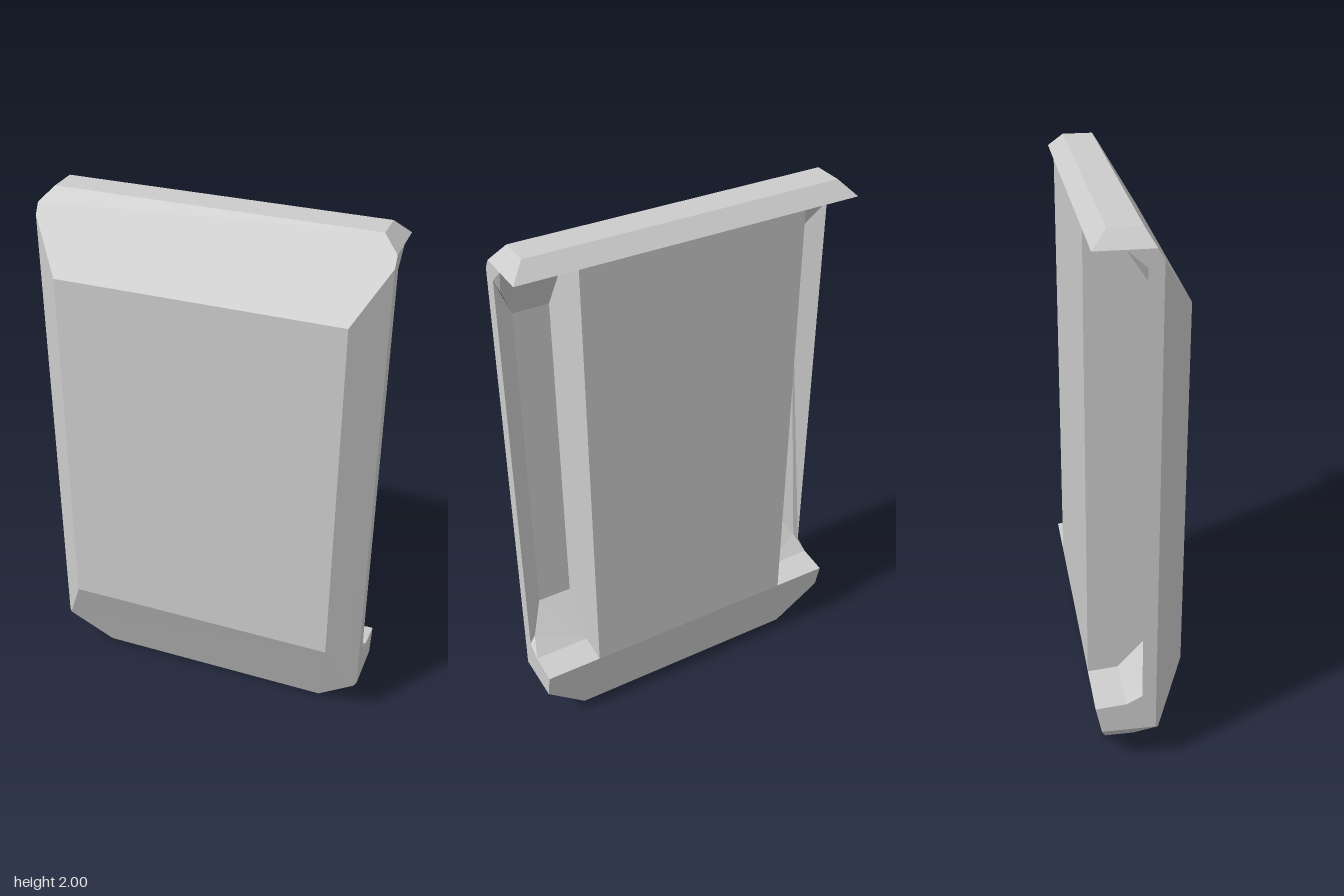
import * as THREE from 'three';

// Corner points of the +x half; the other half is mirrored.
const P = {
  frontTop: [0.515, 1.735, 0.161], frontLow: [0.515, 0.38, 0.161],
  topFront: [0.57, 2, 0], topBack: [0.57, 2, -0.11],
  shoulder: [0.622, 1.947, 0.033], sideTop: [0.622, 1.91, 0.055], lipTop: [0.622, 1.947, -0.161],
  bevelLow: [0.612, 0.155, 0.065], sideLow: [0.622, 0.165, 0.055],
  baseFront: [0.46, 0, 0], baseBack: [0.46, 0, -0.105],
  hip: [0.622, 0.165, -0.139], lipLow: [0.622, 0.27, -0.161],
  blockTop: [0.41, 1.947, -0.161], blockLow: [0.41, 0.27, -0.161],
  // hollow side channel, upper end
  roofOut: [0.622, 1.947, -0.06], rimTop: [0.622, 1.89, 0.005], cornerTop: [0.6, 1.84, 0.01],
  floorTop: [0.54, 1.71, 0.085], wallTop: [0.41, 1.71, 0.085], roofIn: [0.41, 1.947, -0.06],
  // hollow side channel, lower end
  ledgeOut: [0.622, 0.28, -0.05], rimLow: [0.622, 0.31, 0.005], cornerLow: [0.6, 0.34, 0.01],
  floorLow: [0.54, 0.435, 0.085], wallLow: [0.41, 0.435, 0.085], ledgeIn: [0.41, 0.28, -0.05],
};

const material = new THREE.MeshStandardMaterial({ color: 0xcccccc, flatShading: true });
const mirror = ([x, y, z]) => [-x, y, z];
const points = (names) => names.split(' ').map((n) => P[n]);

// Fan of triangles, each turned to face the outward direction.
function addFace(out, corners, outward) {
  const v = corners.map((c) => new THREE.Vector3(...c));
  const dir = new THREE.Vector3(...outward);
  for (let i = 1; i < v.length - 1; i++) {
    const [a, b, c] = [v[0], v[i], v[i + 1]];
    const n = b.clone().sub(a).cross(c.clone().sub(a));
    const tri = n.dot(dir) >= 0 ? [a, b, c] : [a, c, b];
    tri.forEach((p) => out.push(p.x, p.y, p.z));
  }
}

function makeMesh(name, build) {
  const out = [];
  build(out);
  const geometry = new THREE.BufferGeometry();
  geometry.setAttribute('position', new THREE.Float32BufferAttribute(out, 3));
  geometry.computeVertexNormals();
  const mesh = new THREE.Mesh(geometry, material);
  mesh.name = name;
  return mesh;
}

// Face spanning the full width, closed by its mirrored corners
const span = (out, names, outward) => {
  const half = points(names);
  addFace(out, [...half, ...half.map(mirror).reverse()], outward);
};

// Face repeated on both sides
const pair = (out, names, outward) => {
  const half = points(names);
  addFace(out, half, outward);
  addFace(out, half.map(mirror), mirror(outward));
};

export function createModel() {
  const group = new THREE.Group();
  group.name = 'bevelledPanel';

  // Front plate with its bevels
  group.add(makeMesh('frontPlate', (o) => {
    span(o, 'frontTop frontLow', [0, 0, 1]);
    span(o, 'topFront shoulder sideTop frontTop', [0, 1, 1]);
    span(o, 'frontLow bevelLow baseFront', [0, -1, 1]);
    pair(o, 'frontTop frontLow bevelLow sideLow sideTop', [1, 0, 1]);
  }));

  // Top cap and its overhanging lip
  group.add(makeMesh('topCap', (o) => {
    span(o, 'topFront topBack', [0, 1, 0]);
    span(o, 'topBack lipTop', [0, 1, -1]);
    pair(o, 'topFront topBack lipTop shoulder', [1, 1, 0]);
  }));

  // Foot with cut corners
  group.add(makeMesh('foot', (o) => {
    span(o, 'baseFront baseBack', [0, -1, 0]);
    span(o, 'baseBack hip lipLow', [0, 0, -1]);
    pair(o, 'baseFront baseBack hip sideLow bevelLow', [1, -1, 0]);
  }));

  // Narrow side rims
  group.add(makeMesh('sideRims', (o) => {
    pair(o, 'sideTop shoulder roofOut rimTop', [1, 0, 0]);
    pair(o, 'sideTop rimTop rimLow sideLow', [1, 0, 0]);
    pair(o, 'sideLow rimLow ledgeOut lipLow hip', [1, 0, 0]);
  }));

  // Straight-sided central block on the back
  group.add(makeMesh('backBlock', (o) => {
    span(o, 'blockTop blockLow', [0, 0, -1]);
    pair(o, 'blockTop roofIn wallTop wallLow ledgeIn blockLow', [1, 0, 0]);
  }));

  // Deep channels beside the block, running in behind the front bevels
  group.add(makeMesh('sideChannels', (o) => {
    pair(o, 'wallTop floorTop floorLow wallLow', [0, 0, -1]);
    pair(o, 'floorTop floorLow cornerLow rimLow rimTop cornerTop', [-1, 0, -1]);
    pair(o, 'lipTop blockTop roofIn roofOut', [0, -1, 0]);
    pair(o, 'roofIn wallTop floorTop cornerTop roofOut', [0, -1, -1]);
    pair(o, 'roofOut rimTop cornerTop', [1, -1, -1]);
    pair(o, 'lipLow blockLow ledgeIn ledgeOut', [0, 1, 0]);
    pair(o, 'ledgeIn wallLow floorLow cornerLow ledgeOut', [0, 1, -1]);
    pair(o, 'ledgeOut rimLow cornerLow', [1, 1, -1]);
  }));

  return group;
}
